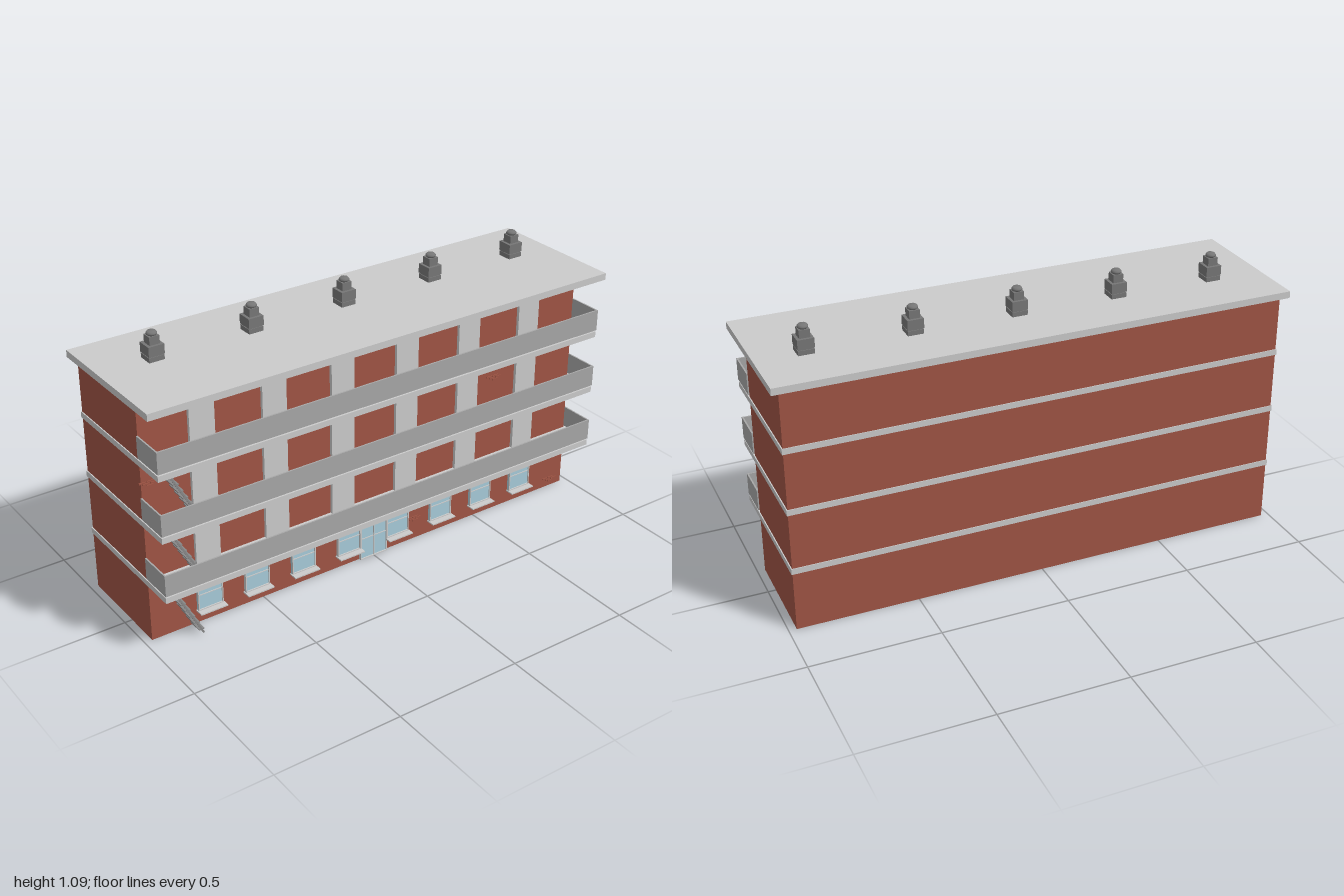
import * as THREE from 'three';

const mat = (color) => new THREE.MeshStandardMaterial({ color });

export function createModel() {
  const model = new THREE.Group();
  const brick = mat(0xa05545), grey = mat(0xcccccc), railGrey = mat(0xa8a8a8), dark = mat(0x777777);
  const glass = mat(0xa8ccda), gold = mat(0x9a8a28), frameGrey = mat(0xc4c4c4), iron = mat(0x888888);

  const group = (name, parent = model) => {
    const g = new THREE.Group();
    g.name = name;
    parent.add(g);
    return g;
  };
  // Box given by its min and max corners
  const box = (name, material, [x0, y0, z0], [x1, y1, z1], parent = model) => {
    const m = new THREE.Mesh(new THREE.BoxGeometry(x1 - x0, y1 - y0, z1 - z0), material);
    m.position.set((x0 + x1) / 2, (y0 + y1) / 2, (z0 + z1) / 2);
    m.name = name;
    parent.add(m);
    return m;
  };

  const wallZ = 0.15;
  const slabY = [0.235, 0.477, 0.719];
  const bayX = [-0.73, -0.437, -0.145, 0.145, 0.437, 0.73];

  // Main block and roof
  box('walls', brick, [-0.97, 0, -0.27], [0.97, 0.957, wallZ]);
  box('roof', grey, [-1, 0.957, -0.29], [1, 0.984, 0.29]);

  const addLamp = (x, y) => {
    const lamp = new THREE.Mesh(new THREE.SphereGeometry(0.013, 16, 10), gold);
    lamp.position.set(x, y, 0.22);
    lamp.name = 'ceilingLamp';
    model.add(lamp);
  };

  // Balcony floors, parapets and doors
  slabY.forEach((y, i) => {
    const floor = group('balconyFloor' + (i + 1));
    const top = y + 0.023, r0 = y + 0.03, r1 = y + 0.115;
    box('slab', grey, [-0.974, y, -0.273], [0.974, top, 0.286], floor);
    box('parapetFront', railGrey, [-0.975, r0, 0.283], [0.975, r1, 0.289], floor);
    for (const s of [-1, 1]) {
      const x = s * 0.972;
      box('parapetEnd', railGrey, [x - 0.003, r0, wallZ], [x + 0.003, r1, 0.283], floor);
    }
    for (const x of bayX) {
      box('balconyDoor', grey, [x - 0.05, top, wallZ - 0.01], [x + 0.05, y + 0.207, 0.163], floor);
    }
    const ceiling = i < 2 ? slabY[i + 1] : 0.957;
    bayX.forEach((x) => addLamp(x, ceiling - 0.003));
  });
  addLamp(0, slabY[0] - 0.003);

  // Glazed unit with outer frame, middle post and transom
  const glazing = (name, x0, x1, y0, y1, sill) => {
    const g = group(name);
    const t = 0.004, z0 = 0.148, z1 = 0.164, xm = (x0 + x1) / 2, ym = y0 + (y1 - y0) * 0.5;
    box('glass', glass, [x0, y0, z0], [x1, y1, 0.159], g);
    for (const x of [x0, x1 - t]) box('jamb', frameGrey, [x, y0, z0], [x + t, y1, z1], g);
    for (const y of [y0, y1 - t]) box('frameRail', frameGrey, [x0, y, z0], [x1, y + t, z1], g);
    box('transom', frameGrey, [x0, ym, z0], [x1, ym + 0.003, 0.162], g);
    if (sill) box('sill', frameGrey, [x0 - 0.004, y0 - 0.005, z0], [x1 + 0.004, y0, 0.188], g);
    else box('doorPost', frameGrey, [xm - 0.002, y0, z0], [xm + 0.002, y1, z1], g);
  };
  for (const x of [-0.73, -0.53, -0.325, -0.118, 0.112, 0.323, 0.525, 0.73]) {
    glazing('groundWindow', x - 0.052, x + 0.052, 0.056, 0.181, true);
  }
  glazing('entranceDoor', -0.065, 0.06, 0.002, 0.181, false);

  // Roof vents: plinth, body, neck and cap
  for (let i = 0; i < 5; i++) {
    const vent = group('roofVent');
    vent.position.set(-0.785 + i * 0.4, 0.984, -0.06);
    const tier = (name, w, y0, y1) => box(name, dark, [-w, y0, -w], [w, y1, w], vent);
    tier('plinth', 0.03, 0, 0.018);
    tier('waist', 0.027, 0.018, 0.022);
    tier('body', 0.031, 0.022, 0.059);
    tier('neck', 0.02, 0.059, 0.09);
    const profile = [[0, 0.09], [0.016, 0.09], [0.02, 0.094], [0.02, 0.099], [0.015, 0.105], [0, 0.105]];
    const cap = new THREE.Mesh(
      new THREE.LatheGeometry(profile.map(([x, y]) => new THREE.Vector2(x, y)), 12), dark);
    cap.name = 'cap';
    vent.add(cap);
  }

  // Fire stairs: two sloping stringers with treads on each level
  [0, slabY[0] + 0.023, slabY[1] + 0.023].forEach((y0, i) => {
    const stair = group('fireStair' + (i + 1));
    const y1 = slabY[i], h = y1 - y0, run = 0.12, x0 = -0.795;
    for (const z of [0.16, 0.218]) {
      const bar = new THREE.Mesh(new THREE.BoxGeometry(0.007, Math.hypot(h, run) - 0.004, 0.004), iron);
      bar.position.set(x0 - run / 2, y0 + h / 2, z);
      bar.rotation.z = Math.atan2(run, h);
      bar.name = 'stringer';
      stair.add(bar);
    }
    for (let k = 0; k < 7; k++) {
      const t = (k + 0.6) / 7, x = x0 - run * t, y = y0 + h * t;
      box('tread', iron, [x - 0.011, y - 0.002, 0.158], [x + 0.011, y + 0.002, 0.22], stair);
    }
  });

  // Small clusters of proud bricks on the front wall
  const clusters = [[-0.94, 0.64], [-0.63, 0.39], [-0.54, 0.44], [-0.04, 0.69], [0.24, 0.9], [0.36, 0.9],
    [0.2, 0.09], [0.66, 0.21], [0.91, 0.03], [0.58, 0.6], [0.4, 0.39], [-0.41, 0.21]];
  for (const [cx, cy] of clusters) {
    const g = group('brickCluster');
    for (const [dx, dy] of [[-0.025, 0.008], [0.004, 0.008], [-0.01, 0], [0.02, 0], [0.005, -0.008]]) {
      const x = cx + dx, y = cy + dy;
      box('brick', brick, [x - 0.013, y - 0.003, 0.148], [x + 0.013, y + 0.003, 0.153], g);
    }
  }
  return model;
}
